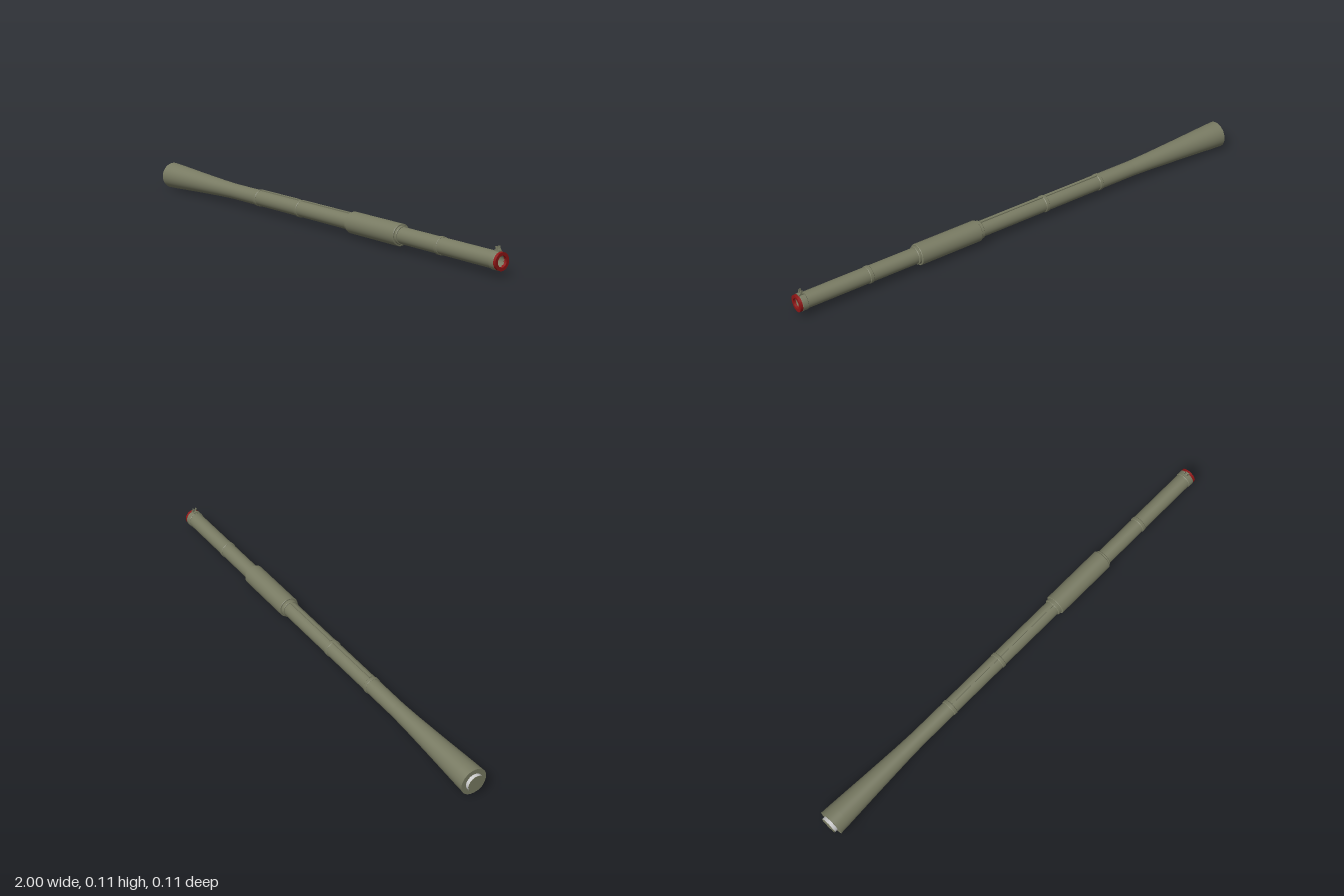
import * as THREE from 'three';

const AXIS_Y = 0.0535;
const olive = new THREE.MeshStandardMaterial({ color: 0x787a62 });
const red = new THREE.MeshStandardMaterial({ color: 0x8e1515 });
const white = new THREE.MeshStandardMaterial({ color: 0xf2f2f2 });

export function createModel() {
  const group = new THREE.Group();

  const add = (name, geometry, material, x = 0, y = 0, z = 0) => {
    const mesh = new THREE.Mesh(geometry, material);
    mesh.name = name;
    mesh.position.set(x, y, z);
    group.add(mesh);
    return mesh;
  };

  // Solid of revolution along x from [x, radius] pairs; doubled points keep edges sharp
  const turned = (name, profile, material = olive) => {
    const points = profile.flatMap(([x, r], i) => {
      const p = new THREE.Vector2(r, x);
      return i === 0 || i === profile.length - 1 ? [p] : [p, p.clone()];
    });
    const geometry = new THREE.LatheGeometry(points, 48).rotateZ(-Math.PI / 2);
    return add(name, geometry, material, 0, AXIS_Y, 0);
  };

  // Closed band with bevelled ends
  const band = (name, x0, x1, r, bevel = 0.002) =>
    turned(name, [[x0, 0.025], [x0, r - bevel], [x0 + bevel, r], [x1 - bevel, r], [x1, r - bevel], [x1, 0.025]]);

  // Main tube with flared rear and a hollow front
  turned('tube', [
    [-0.985, 0], [-0.985, 0.0535], [-0.94, 0.0515], [-0.78, 0.0425], [-0.62, 0.0345], [-0.53, 0.0315],
    [0.99, 0.0315], [0.99, 0.021], [0.96, 0.021], [0.96, 0],
  ]);

  // Rear plug: light rim with a dull end face
  turned('rearPlugRim', [[-0.999, 0.034], [-0.985, 0.034]], white);
  turned('rearPlugFace', [[-1, 0], [-1, 0.034], [-0.998, 0.034]]);

  // Clamping rings and the thick sleeve
  [-0.36, -0.095, 0.7].forEach((x) => band('tubeRing', x - 0.008, x + 0.008, 0.034));
  band('sleeve', 0.22, 0.49, 0.042);
  band('sleeveRearCollar', 0.205, 0.222, 0.036);
  band('sleeveFrontCollar', 0.488, 0.5, 0.036);

  // Rails on top of the tube, between the rings and the sleeve
  [[-0.352, -0.103], [-0.087, 0.205]].forEach(([x0, x1]) =>
    add('topRail', new THREE.BoxGeometry(x1 - x0, 0.006, 0.01), olive, (x0 + x1) / 2, AXIS_Y + 0.0325, 0));

  // Muzzle collar with a red front ring
  band('muzzleCollar', 0.965, 0.99, 0.034);
  turned('muzzleRing', [[0.986, 0.033], [1, 0.033], [1, 0.021], [0.986, 0.021]], red);

  // Front sight: foot, two ears and a post
  add('sightFoot', new THREE.BoxGeometry(0.022, 0.006, 0.016), olive, 0.979, AXIS_Y + 0.035, 0);
  [-1, 1].forEach((side) => {
    const ear = add('sightEar', new THREE.BoxGeometry(0.008, 0.018, 0.003), olive, 0.979, AXIS_Y + 0.043, side * 0.0065);
    ear.rotation.z = 0.3;
  });
  const post = add('sightPost', new THREE.CylinderGeometry(0.0015, 0.002, 0.014, 8), olive, 0.979, AXIS_Y + 0.042, 0);
  post.rotation.z = 0.3;

  return group;
}
